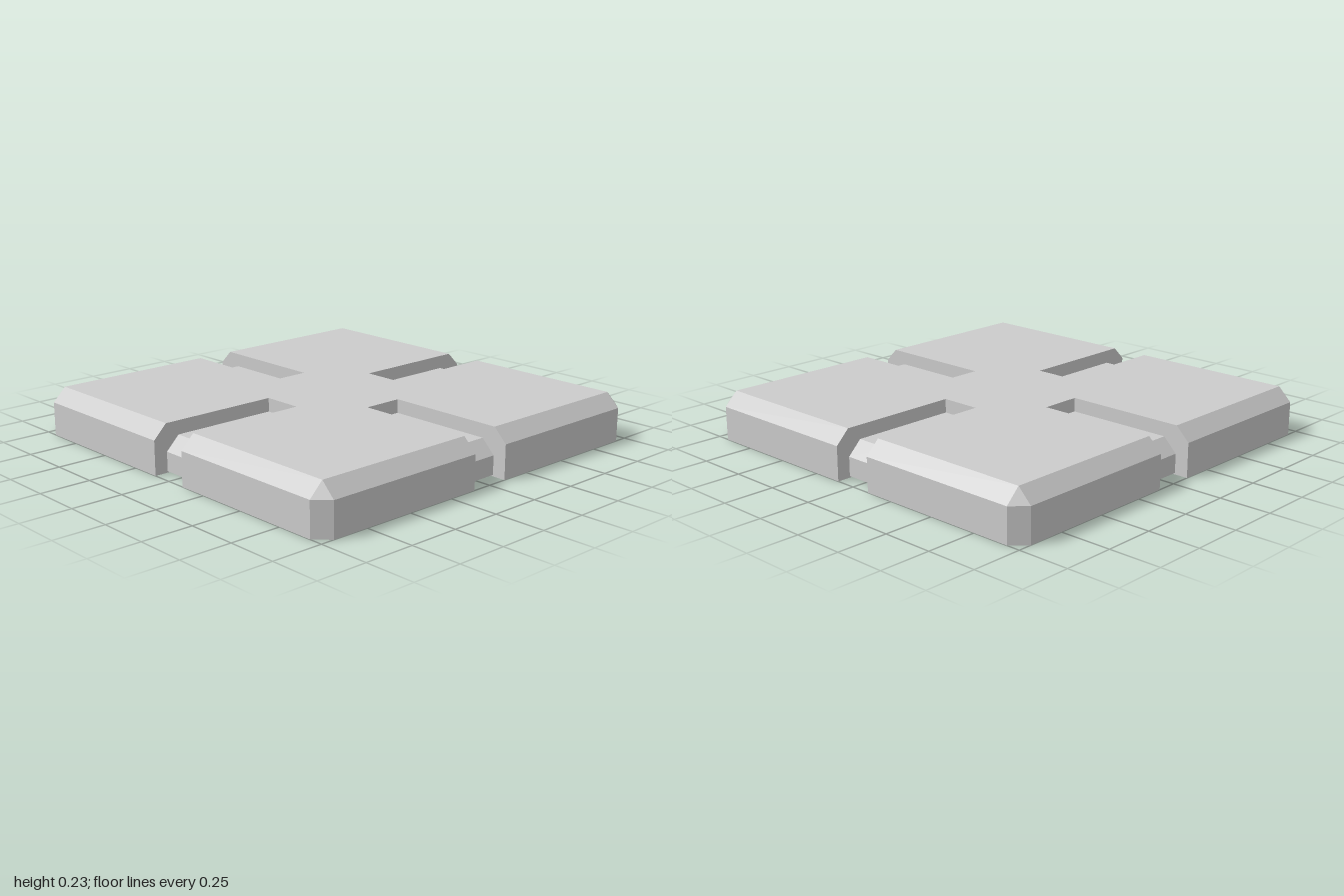
import * as THREE from 'three';

const EDGE = 1, BEVEL = 0.067, INNER = EDGE - BEVEL;
const HEIGHT = 0.233, SHOULDER = HEIGHT - BEVEL;
const SLOT = 0.1, SLOT_END = 0.333;

// Repeat one quarter of the plan outline (x, z) around the centre, counterclockwise from above
function fourfold(quarter) {
  const points = [];
  for (let k = 0; k < 4; k++) {
    points.push(...quarter);
    quarter = quarter.map(([x, z]) => [z, -x]);
  }
  return points;
}

// Solid skinned between outlines of equal point count, capped at both ends
function loft(rings) {
  const positions = [];
  const tri = (...corners) => corners.forEach((c) => positions.push(...c));
  const levels = rings.map(({ outline, y }) => outline.map(([x, z]) => [x, y, z]));

  for (let l = 0; l < levels.length - 1; l++) {
    const low = levels[l], high = levels[l + 1], n = low.length;
    for (let i = 0; i < n; i++) {
      const j = (i + 1) % n;
      tri(low[i], low[j], high[j]);
      // bevelled corners close to a single point
      if (high[i][0] !== high[j][0] || high[i][2] !== high[j][2]) tri(low[i], high[j], high[i]);
    }
  }

  const cap = (level, up) => {
    const flat = level.map(([x, , z]) => new THREE.Vector2(x, -z));
    for (const [a, b, c] of THREE.ShapeUtils.triangulateShape(flat, [])) {
      if (up) tri(level[a], level[b], level[c]);
      else tri(level[c], level[b], level[a]);
    }
  };
  cap(levels[0], false);
  cap(levels[levels.length - 1], true);

  const geometry = new THREE.BufferGeometry();
  geometry.setAttribute('position', new THREE.Float32BufferAttribute(positions, 3));
  geometry.computeVertexNormals();
  return geometry;
}

export function createModel() {
  const group = new THREE.Group();
  group.name = 'slottedTile';
  const material = new THREE.MeshStandardMaterial({ color: 0xcccccc, flatShading: true });

  // Bevelled slab with a slot cut into the middle of each side
  const base = fourfold([
    [SLOT, SLOT_END], [SLOT, EDGE], [INNER, EDGE],
    [EDGE, INNER], [EDGE, SLOT], [SLOT_END, SLOT],
  ]);
  const top = fourfold([
    [SLOT, SLOT_END], [SLOT, INNER], [INNER, INNER],
    [INNER, INNER], [INNER, SLOT], [SLOT_END, SLOT],
  ]);
  const slab = new THREE.Mesh(loft([
    { outline: base, y: 0 },
    { outline: base, y: SHOULDER },
    { outline: top, y: HEIGHT },
  ]), material);
  slab.name = 'slab';
  group.add(slab);

  // Recessed floor of each slot, with a bevelled outer edge and a slightly raised underside
  const profile = new THREE.Shape([
    [SLOT_END, 0.007], [INNER, 0.007], [INNER, SHOULDER - BEVEL],
    [INNER - BEVEL, SHOULDER], [SLOT_END, SHOULDER],
  ].map(([x, y]) => new THREE.Vector2(x, y)));
  const floorGeometry = new THREE.ExtrudeGeometry(profile, { depth: 2 * SLOT, bevelEnabled: false });
  floorGeometry.translate(0, 0, -SLOT);
  ['left', 'back', 'right', 'front'].forEach((side, k) => {
    const floor = new THREE.Mesh(floorGeometry, material);
    floor.name = side + 'SlotFloor';
    floor.rotation.y = k * Math.PI / 2;
    group.add(floor);
  });

  return group;
}
